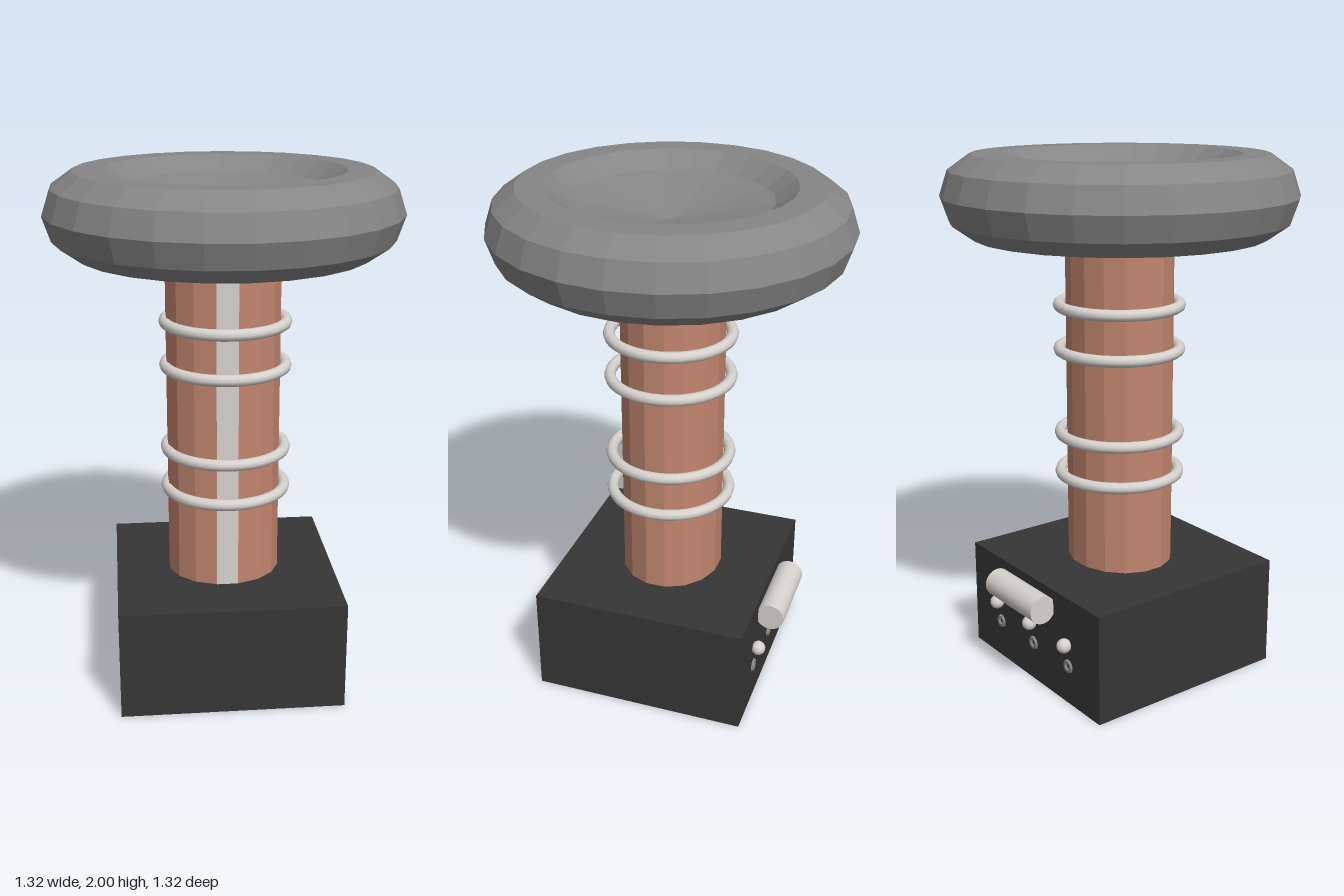
import * as THREE from 'three';

const mat = (name, color, flatShading = false) => {
  const m = new THREE.MeshStandardMaterial({ color, flatShading });
  m.name = name;
  return m;
};

export function createModel() {
  const group = new THREE.Group();
  const black = mat('black casing', 0x363636);
  const copper = mat('copper', 0xc2866f, true);
  const silver = mat('silver', 0xd6d2ce);
  const grey = mat('grey metal', 0x868686, true);

  const add = (name, geometry, material, x = 0, y = 0, z = 0) => {
    const mesh = new THREE.Mesh(geometry, material);
    mesh.name = name;
    mesh.position.set(x, y, z);
    group.add(mesh);
    return mesh;
  };

  // Base box
  add('base', new THREE.BoxGeometry(0.86, 0.43, 0.835), black, 0, 0.215, -0.003);

  // Sixteen-sided copper column, slightly flattened in depth, one facet facing front
  const columnGeo = new THREE.CylinderGeometry(0.219, 0.219, 1.41, 16);
  columnGeo.rotateY(Math.PI / 16).scale(1, 1, 0.9);
  add('column', columnGeo, copper, -0.003, 1.135, -0.005);

  // Silver strip covering the front facet
  add('frontStrip', new THREE.BoxGeometry(0.082, 1.41, 0.006), silver, -0.003, 1.135, 0.187);

  // Wire rings around the column
  for (const y of [0.78, 0.94, 1.27, 1.44]) {
    const ring = new THREE.TorusGeometry(0.23, 0.022, 10, 40).rotateX(Math.PI / 2);
    add('wireRing', ring, silver, 0.006, y, 0);
  }

  // Ring-shaped top with a shallow cone closing the hole above and below
  const profile = [new THREE.Vector2(0, 1.83)];
  for (let i = -4; i <= 4; i++) {
    const a = (i * Math.PI) / 5;
    profile.push(new THREE.Vector2(0.498 + 0.163 * Math.cos(a), 1.85 + 0.158 * Math.sin(a)));
  }
  profile.push(new THREE.Vector2(0, 1.87));
  add('topToroid', new THREE.LatheGeometry(profile, 25, Math.PI / 2), grey);

  // Cylinder across the back of the base
  add('backCylinder', new THREE.CylinderGeometry(0.055, 0.055, 0.32, 24).rotateZ(Math.PI / 2),
    silver, 0.02, 0.36, -0.467);

  // Knobs with small sockets below them
  for (const x of [-0.235, 0, 0.235]) {
    add('knob', new THREE.SphereGeometry(0.028, 16, 12), silver, x, 0.245, -0.44);
    add('socket', new THREE.TorusGeometry(0.019, 0.009, 6, 10), grey, x, 0.155, -0.42);
  }
  return group;
}
